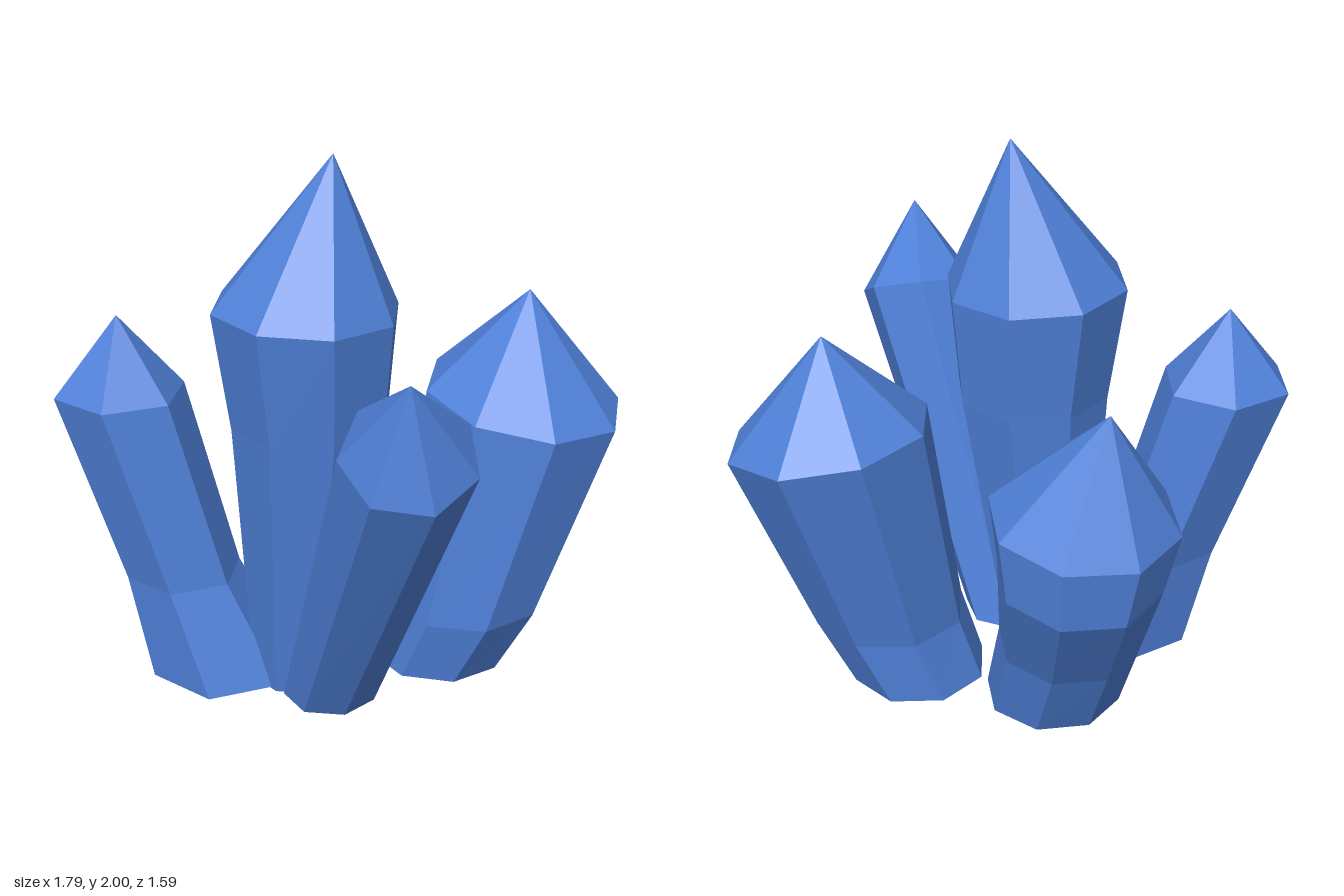
import * as THREE from 'three';

const material = new THREE.MeshStandardMaterial({ color: 0x4f80d8, flatShading: true, roughness: 0.8 });

// Faceted crystal: rings run from base to shoulder as [x, y, z, radius, slopeX, slopeZ], closed by a point
function crystal({ name, sides, phase, rings, tip }) {
  const loops = rings.map(([x, y, z, r, sx = 0, sz = 0]) =>
    Array.from({ length: sides }, (_, i) => {
      const a = phase + (i / sides) * Math.PI * 2;
      const dx = r * Math.cos(a), dz = r * Math.sin(a);
      return [x + dx, y + sx * dx + sz * dz, z + dz];
    }));
  const top = loops[loops.length - 1];
  const baseCentre = rings[0].slice(0, 3);
  const positions = [];
  const tri = (a, b, c) => positions.push(...a, ...b, ...c);

  for (let i = 0; i < sides; i++) {
    const j = (i + 1) % sides;
    tri(baseCentre, loops[0][i], loops[0][j]); // underside
    for (let k = 0; k < loops.length - 1; k++) { // shaft
      const lo = loops[k], hi = loops[k + 1];
      tri(lo[i], hi[i], lo[j]);
      tri(lo[j], hi[i], hi[j]);
    }
    tri(top[i], tip, top[j]); // point
  }
  const geometry = new THREE.BufferGeometry();
  geometry.setAttribute('position', new THREE.Float32BufferAttribute(positions, 3));
  geometry.computeVertexNormals();
  const mesh = new THREE.Mesh(geometry, material);
  mesh.name = name;
  return mesh;
}

const crystals = [
  {
    name: 'centreCrystal', sides: 8, phase: -0.09, tip: [0.08, 2, 0.15],
    rings: [
      [-0.05, 0.015, 0.19, 0.17],
      [0.01, 1.04, 0.19, 0.285],
      [0, 1.46, 0.2, 0.335, -0.03, 0.02],
    ],
  },
  {
    name: 'frontRightCrystal', sides: 6, phase: 0.1, tip: [-0.66, 1.375, 0.42],
    rings: [
      [-0.315, 0.02, 0.295, 0.275],
      [-0.455, 0.4, 0.345, 0.215],
      [-0.66, 1.09, 0.42, 0.24],
    ],
  },
  {
    name: 'frontLeftCrystal', sides: 7, phase: Math.PI / 2, tip: [0.715, 1.495, 0.7],
    rings: [
      [0.13, 0.015, 0.25, 0.17],
      [0.635, 1.2, 0.565, 0.23, -0.28, -0.4],
    ],
  },
  {
    name: 'backLeftCrystal', sides: 8, phase: Math.PI / 2, tip: [0.52, 1.44, -0.46],
    rings: [
      [0.295, 0.01, -0.24, 0.255, -0.02, 0.02],
      [0.4, 0.26, -0.265, 0.285],
      [0.53, 1.05, -0.425, 0.365, -0.17, 0],
    ],
  },
  {
    name: 'backRightCrystal', sides: 8, phase: -0.14, tip: [-0.53, 1.365, -0.5],
    rings: [
      [-0.235, 0.015, -0.21, 0.25],
      [-0.33, 0.33, -0.31, 0.255, 0.05, 0.05],
      [-0.43, 0.72, -0.485, 0.285, 0.08, 0.08],
      [-0.435, 0.95, -0.46, 0.33, 0.1, 0.08],
    ],
  },
];

export function createModel() {
  const group = new THREE.Group();
  group.name = 'crystalCluster';
  for (const spec of crystals) group.add(crystal(spec));
  return group;
}
